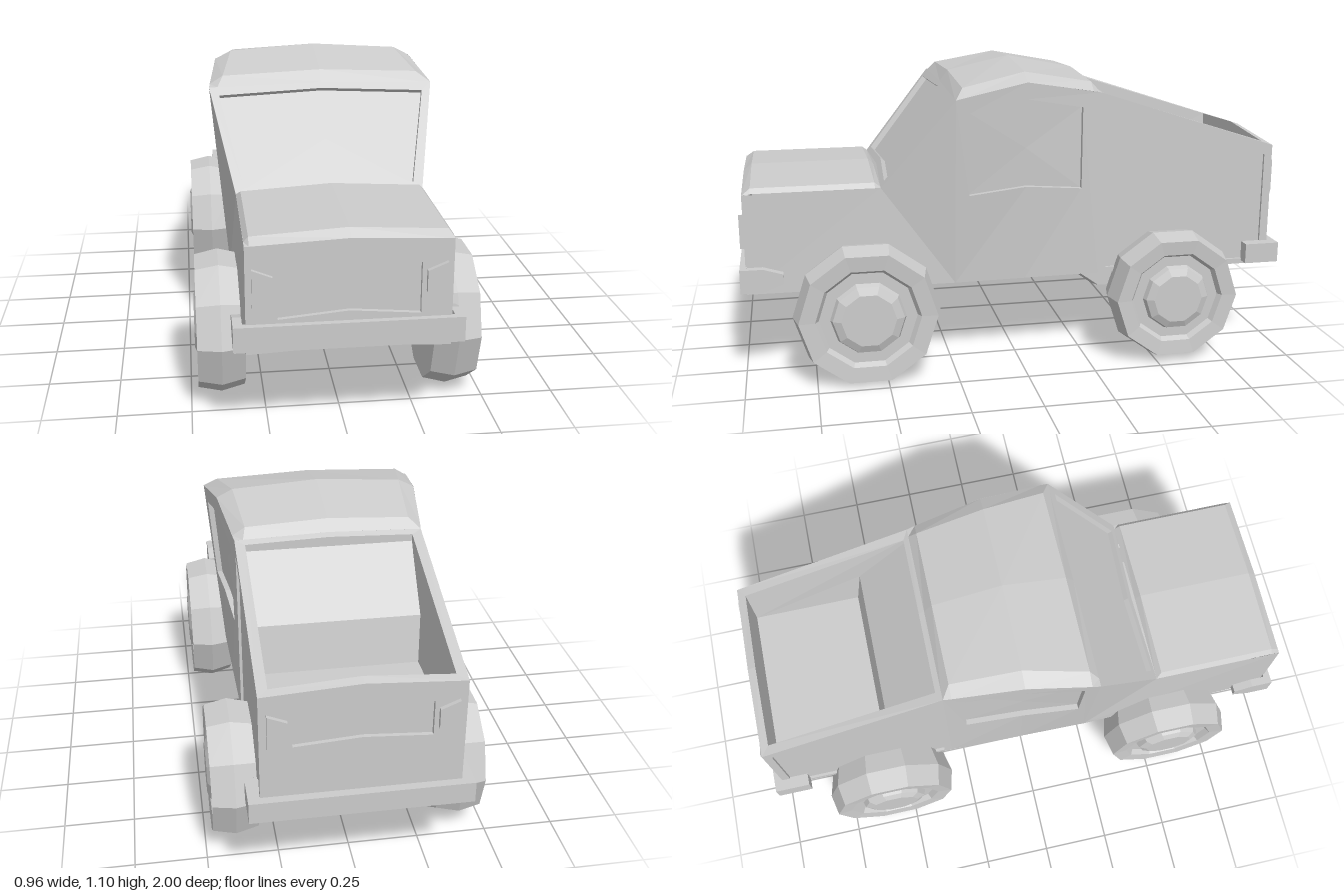
import * as THREE from 'three';

const material = new THREE.MeshStandardMaterial({ color: 0xcccccc, flatShading: true, side: THREE.DoubleSide });

function addMesh(parent, name, geometry) {
  const mesh = new THREE.Mesh(geometry, material);
  mesh.name = name;
  parent.add(mesh);
  return mesh;
}

// Flat polygons ([x, y, z] corners) split into triangle fans
function polygons(polys) {
  const pos = [];
  for (const p of polys)
    for (let i = 1; i < p.length - 1; i++) pos.push(...p[0], ...p[i], ...p[i + 1]);
  const g = new THREE.BufferGeometry();
  g.setAttribute('position', new THREE.Float32BufferAttribute(pos, 3));
  g.computeVertexNormals();
  return g;
}

const mirror = (polys) => polys.map((p) => p.map(([x, y, z]) => [-x, y, z]).reverse());

// Skin between consecutive rows of points
function skin(rows) {
  const out = [];
  for (let r = 0; r < rows.length - 1; r++)
    for (let i = 0; i < rows[r].length - 1; i++)
      out.push([rows[r][i], rows[r + 1][i], rows[r + 1][i + 1], rows[r][i + 1]]);
  return out;
}

// Frame around a hole
function ring(outer, hole) {
  return outer.map((a, i) => {
    const j = (i + 1) % outer.length;
    return [a, outer[j], hole[j], hole[i]];
  });
}

// Frame, reveal walls and sunken panel
function inset(outer, hole, [dx, dy, dz]) {
  const back = hole.map(([x, y, z]) => [x + dx, y + dy, z + dz]);
  const centre = [0, 1, 2].map((k) => back.reduce((s, p) => s + p[k], 0) / back.length);
  const panel = back.map((p, i) => [p, back[(i + 1) % back.length], centre]);
  return [...ring(outer, hole), ...ring(hole, back), ...panel];
}

// Symmetric row of five points: edge, shoulder, centre, shoulder, edge
const row = (z, ex, ey, sx, sy, cy) =>
  [[ex, ey, z], [sx, sy, z], [0, cy, z], [-sx, sy, z], [-ex, ey, z]];

// Six corners of an upright face with raised centres, at depth z(y)
const face = (bx, by, bc, tx, ty, tc, z) =>
  [[-bx, by], [0, bc], [bx, by], [tx, ty], [0, tc], [-tx, ty]].map(([x, y]) => [x, y, z(y)]);

function prism(points, depth) {
  const shape = new THREE.Shape(points.map(([x, y]) => new THREE.Vector2(x, y)));
  return new THREE.ExtrudeGeometry(shape, { depth, bevelEnabled: false });
}

function bar(parent, name, w, h, d, x, y, z) {
  addMesh(parent, name, new THREE.BoxGeometry(w, h, d)).position.set(x, y, z);
}

function createBody() {
  const body = new THREE.Group();
  body.name = 'body';

  // Hood with chamfered front and sides
  addMesh(body, 'hood', polygons(skin([
    row(0.98, 0.325, 0.68, 0.31, 0.681, 0.695),
    row(0.95, 0.325, 0.685, 0.31, 0.702, 0.72),
    row(0.52, 0.325, 0.685, 0.31, 0.702, 0.72),
    row(0.5, 0.325, 0.685, 0.31, 0.686, 0.7),
  ])));

  // Faceted roof
  addMesh(body, 'roof', polygons(skin([
    row(0.24, 0.4, 1.0, 0.37, 1.001, 1.01),
    row(0.21, 0.397, 1.006, 0.35, 1.035, 1.05),
    row(-0.02, 0.368, 1.05, 0.31, 1.08, 1.1),
    row(-0.27, 0.335, 1.006, 0.29, 1.035, 1.05),
    row(-0.3, 0.33, 1.0, 0.3, 1.001, 1.01),
  ])));

  // Raked windshield sunk in its frame
  const rake = (y) => 0.5 - (0.26 * (y - 0.685)) / 0.315;
  addMesh(body, 'windshield', polygons(inset(
    face(0.325, 0.685, 0.7, 0.4, 1.0, 1.01, rake),
    face(0.295, 0.703, 0.72, 0.365, 0.975, 0.99, rake), [0, -0.013, -0.016])));

  // Grille and tailgate faces
  addMesh(body, 'grille', polygons(inset(
    face(0.325, 0.32, 0.335, 0.325, 0.68, 0.695, () => 0.98),
    face(0.225, 0.435, 0.455, 0.225, 0.605, 0.625, () => 0.98), [0, 0, -0.015])));
  addMesh(body, 'tailgate', polygons(inset(
    face(0.33, 0.32, 0.335, 0.33, 0.78, 0.8, () => -0.97),
    face(0.225, 0.59, 0.605, 0.225, 0.715, 0.73, () => -0.97), [0, 0, 0.015])));

  // Underside
  const under = [[0.325, 0.98], [0.34, 0.24], [0.33, -0.3], [0.33, -0.97]];
  addMesh(body, 'underside', polygons(skin(
    under.map(([x, z]) => [[-x, 0.32, z], [0, 0.335, z], [x, 0.32, z]]))));

  // Sides: front fender, flared door with window, rear quarter panel
  const sideX = (y, z) =>
    THREE.MathUtils.lerp(0.33, 0.34 + (0.06 * (y - 0.32)) / 0.68, (z + 0.3) / 0.54);
  const onDoor = ([z, y]) => [sideX(y, z), y, z];
  const onQuarter = ([z, y]) => [0.33, y, z];
  const fender = [
    [[0.325, 0.32, 0.98], [0.34, 0.32, 0.24], [0.325, 0.685, 0.5], [0.325, 0.68, 0.98]],
    [[0.325, 0.685, 0.5], [0.34, 0.32, 0.24], [0.4, 1.0, 0.24]],
  ];
  const door = inset(
    [[0.24, 0.32], [-0.02, 0.32], [-0.3, 0.32], [-0.3, 1.0], [-0.02, 1.05], [0.24, 1.0]].map(onDoor),
    [[0.19, 0.65], [-0.02, 0.67], [-0.23, 0.65], [-0.23, 0.95], [-0.02, 0.99], [0.19, 0.95]].map(onDoor),
    [-0.02, 0, 0]);
  const quarter = inset(
    [[-0.3, 0.32], [-0.97, 0.32], [-0.97, 0.78], [-0.3, 1.0]].map(onQuarter),
    [[-0.33, 0.34], [-0.94, 0.34], [-0.94, 0.745], [-0.33, 0.955]].map(onQuarter),
    [-0.01, 0, 0]);
  for (const [name, polys] of Object.entries({ fender, door, quarter })) {
    addMesh(body, name + 'Left', polygons(polys));
    addMesh(body, name + 'Right', polygons(mirror(polys)));
  }

  // Open cargo bed: sloping rim, cab back wall, floor and tail wall
  const rimOuter = [[0.33, 1.0, -0.3], [0, 1.01, -0.3], [-0.33, 1.0, -0.3],
    [-0.33, 0.78, -0.97], [0, 0.8, -0.97], [0.33, 0.78, -0.97]];
  const rimInner = [[0.295, 0.99, -0.32], [0, 1.0, -0.32], [-0.295, 0.99, -0.32],
    [-0.295, 0.79, -0.94], [0, 0.81, -0.94], [0.295, 0.79, -0.94]];
  addMesh(body, 'bedRim', polygons(ring(rimOuter, rimInner)));
  const lining = [[0.295, 0.99, -0.32], [0.295, 0.965, -0.32], [0.29, 0.77, -0.51],
    [0.28, 0.6, -0.54], [0.28, 0.6, -0.94], [0.295, 0.79, -0.94]];
  const bedSide = [[4, 5, 0, 1, 2, 3].map((i) => lining[i])];
  addMesh(body, 'bedLining', polygons([
    ...skin(lining.map(([x, y, z]) => [[x, y, z], [-x, y, z]])),
    [rimInner[0], rimInner[1], rimInner[2]], [rimInner[3], rimInner[4], rimInner[5]],
    ...bedSide, ...mirror(bedSide)]));
  return body;
}

// Ten-sided tyre with crowned tread, dished rim and raised hub; outer face towards +x
function wheelGeometry(r) {
  const profile = [[0, -0.08], [r * 0.92, -0.08], [r, 0], [r * 0.93, 0.08], [r * 0.71, 0.075],
    [r * 0.66, 0.055], [r * 0.51, 0.055], [r * 0.48, 0.075], [r * 0.37, 0.087], [0, 0.087]];
  const g = new THREE.LatheGeometry(profile.map(([a, b]) => new THREE.Vector2(a, b)), 10);
  return g.rotateZ(-Math.PI / 2);
}

export function createModel() {
  const model = new THREE.Group();
  model.name = 'pickupTruck';
  model.add(createBody());

  // Wheels
  const wheels = [['frontLeftWheel', 1, 0.565, 0.262], ['frontRightWheel', -1, 0.565, 0.248],
    ['rearLeftWheel', 1, -0.565, 0.246], ['rearRightWheel', -1, -0.565, 0.246]];
  for (const [name, side, z, r] of wheels) {
    const wheel = addMesh(model, name, wheelGeometry(r));
    wheel.position.set(side * 0.395, 0.25, z);
    if (side < 0) wheel.rotation.y = Math.PI;
  }

  // Bumpers with side arms
  bar(model, 'frontBumper', 0.73, 0.085, 0.025, 0, 0.38, 0.9875);
  bar(model, 'rearBumper', 0.74, 0.075, 0.035, 0, 0.37, -0.9825);
  for (const side of [1, -1]) {
    const arm = prism([[0.99, 0.338], [0.99, 0.422], [0.92, 0.422], [0.85, 0.4], [0.85, 0.365], [0.92, 0.338]], 0.03);
    arm.rotateY(-Math.PI / 2);
    addMesh(model, 'frontBumperArm', arm).position.x = side > 0 ? 0.365 : -0.335;
    bar(model, 'rearBumperArm', 0.045, 0.075, 0.13, side * 0.3475, 0.37, -0.935);

    // Wedge-shaped lamps
    const lamp = (y) => {
      const p = [[0.24, y - 0.035], [0.305, y - 0.062], [0.305, y + 0.062], [0.24, y + 0.035]];
      return p.map(([x, h]) => [side * x, h]);
    };
    addMesh(model, 'headlight', prism(lamp(0.546), 0.025)).position.z = 0.97;
    addMesh(model, 'tailLight', prism(lamp(0.655), 0.025)).position.z = -0.985;
  }
  return model;
}
